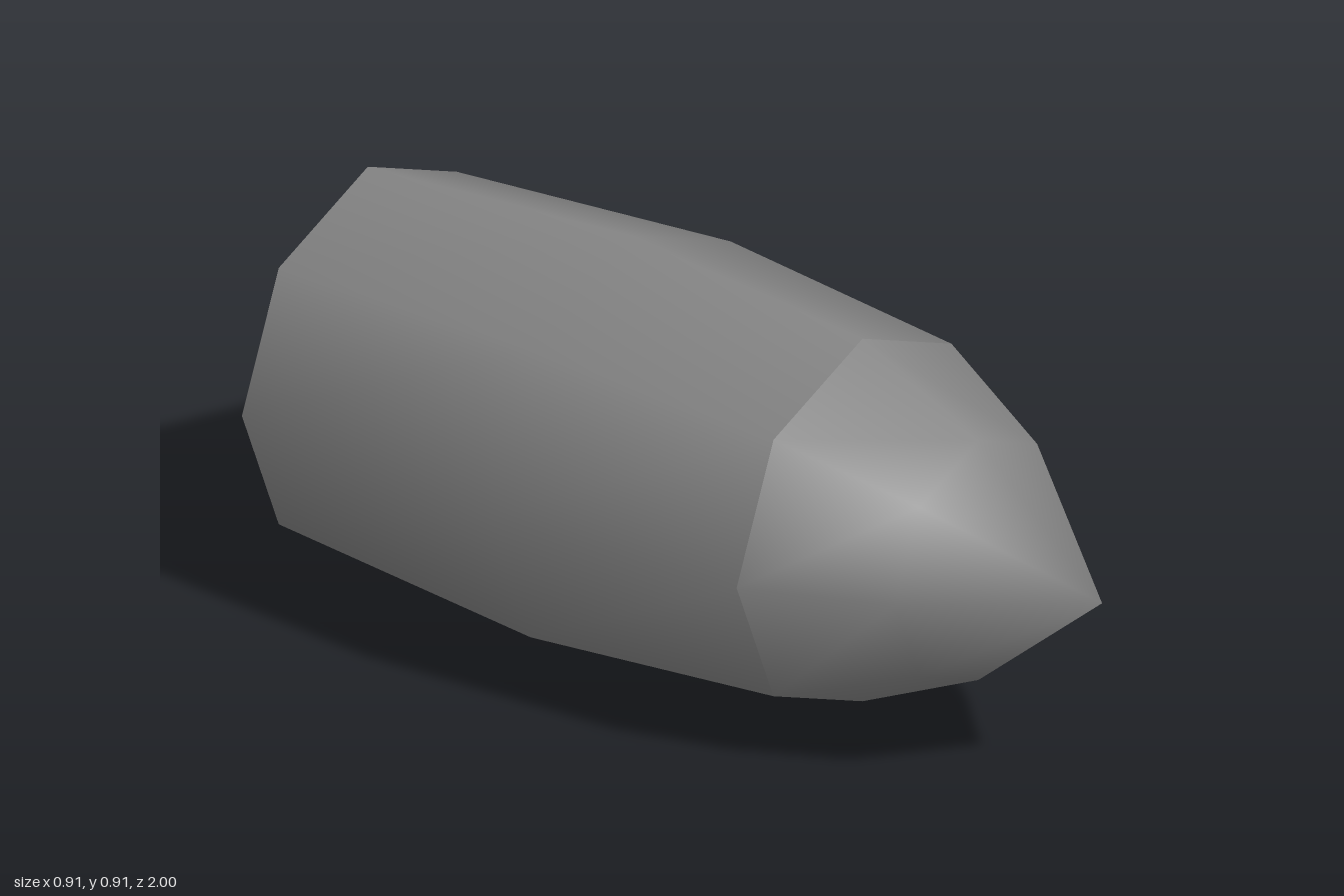
import * as THREE from 'three';

// Profile sections as [radius, z], back to front; normals are smooth within each, creased between
const SECTIONS = {
  tailCap: [[0, -1], [0.2, -1]],
  tailBevel: [[0.2, -1], [0.406, -0.9]],
  body: [[0.406, -0.9], [0.456, -0.22], [0.406, 0.38]],
  nose: [[0.406, 0.38], [0.268, 0.68], [0, 1]],
};
const SIDES = 8;
const AXIS_HEIGHT = 0.456;

export function createModel() {
  const group = new THREE.Group();
  group.name = 'pointedCapsule';
  const material = new THREE.MeshStandardMaterial({ color: 0x848484 });

  // Each section is an eight-sided turning, laid down along z
  for (const [name, profile] of Object.entries(SECTIONS)) {
    const points = profile.map(([r, z]) => new THREE.Vector2(r, z));
    const geometry = new THREE.LatheGeometry(points, SIDES);
    geometry.rotateX(Math.PI / 2);

    // The tip shares one forward normal so the point shades smoothly
    const { position, normal } = geometry.attributes;
    for (let i = 0; i < position.count; i++) {
      if (position.getZ(i) > 0.99) normal.setXYZ(i, 0, 0, 1);
    }

    const mesh = new THREE.Mesh(geometry, material);
    mesh.name = name;
    mesh.position.y = AXIS_HEIGHT;
    group.add(mesh);
  }
  return group;
}
